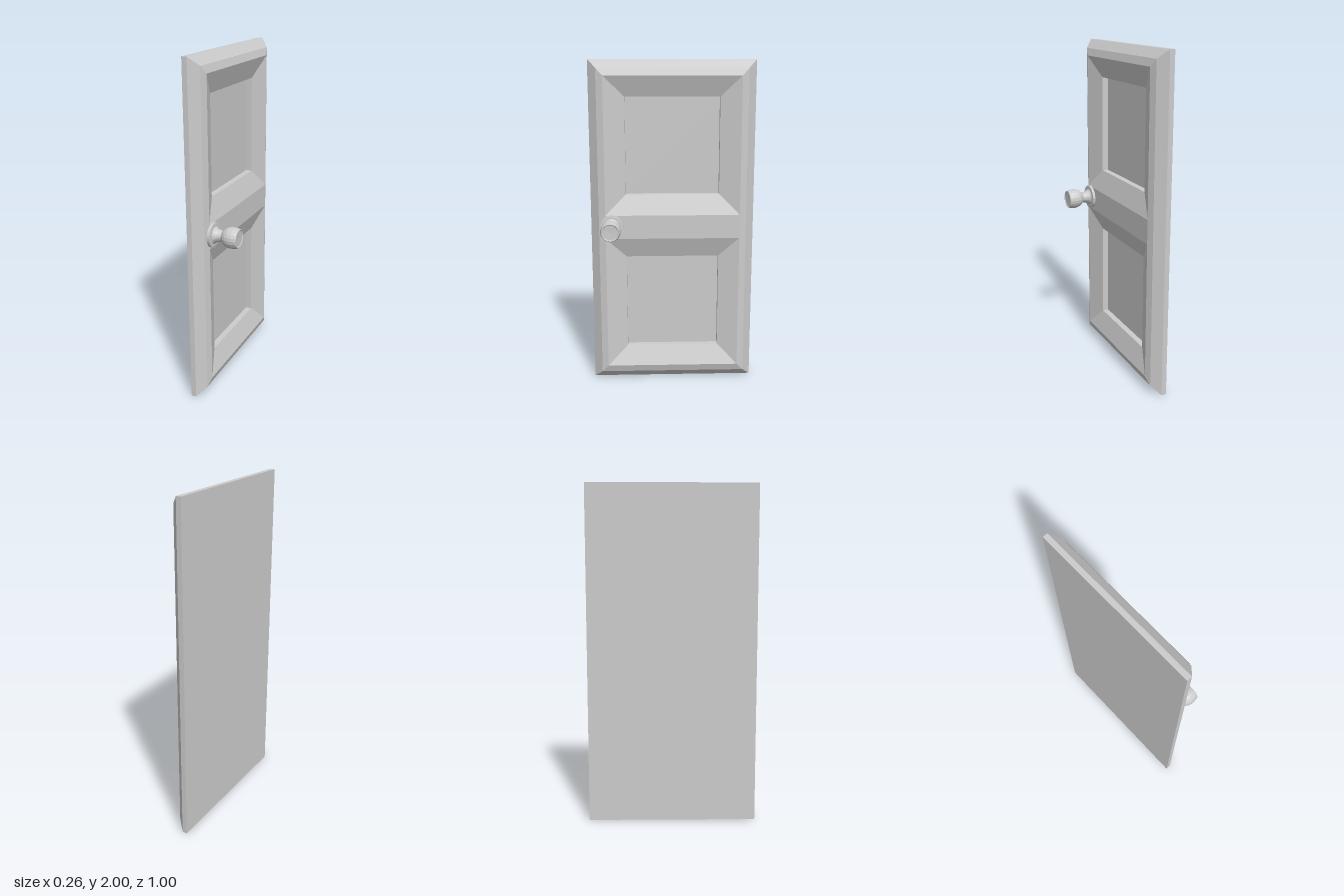
import * as THREE from 'three';

const material = new THREE.MeshStandardMaterial({ color: 0xcccccc, flatShading: true });

// Rectangle in the door plane at depth x; corners run counter-clockwise seen from +x
function rect(x, halfWidth, y0, y1) {
  return [[x, y0, halfWidth], [x, y0, -halfWidth], [x, y1, -halfWidth], [x, y1, halfWidth]];
}

const quad = (a, b, c, d) => [...a, ...b, ...c, ...a, ...c, ...d];

// Joins successive rectangles with mitred strips
function strips(loops) {
  const out = [];
  for (let k = 0; k + 1 < loops.length; k++) {
    const a = loops[k], b = loops[k + 1];
    for (let i = 0; i < 4; i++) {
      const j = (i + 1) % 4;
      out.push(...quad(a[i], a[j], b[j], b[i]));
    }
  }
  return out;
}

function facetMesh(name, positions) {
  const geometry = new THREE.BufferGeometry();
  geometry.setAttribute('position', new THREE.Float32BufferAttribute(positions, 3));
  geometry.computeVertexNormals();
  const mesh = new THREE.Mesh(geometry, material);
  mesh.name = name;
  return mesh;
}

// Lathe around the x axis from [radius, x] pairs
function turned(name, profile, sides) {
  const geometry = new THREE.LatheGeometry(profile.map(([r, x]) => new THREE.Vector2(r, x)), sides);
  geometry.rotateZ(-Math.PI / 2);
  const mesh = new THREE.Mesh(geometry, material);
  mesh.name = name;
  return mesh;
}

export function createModel() {
  const model = new THREE.Group();
  model.name = 'panelDoor';
  const face = -0.035, inner = 0.41;

  // Flat back, thin edge and two-step bevelled border
  const back = rect(-0.13, 0.5, 0, 2);
  const border = [
    back,
    rect(-0.1, 0.5, 0, 2),
    rect(-0.05, 0.45, 0.05, 1.95),
    rect(face, inner, 0.095, 1.907),
  ];
  model.add(facetMesh('doorBody', [
    ...quad(back[3], back[2], back[1], back[0]),
    ...strips(border),
  ]));

  // Flat rail between the panels
  model.add(facetMesh('middleRail', quad(...rect(face, inner, 0.93, 1.075))));

  // Sloped frame, short step and recessed panel
  for (const [name, y0, y1] of [['lowerPanel', 0.095, 0.93], ['upperPanel', 1.075, 1.907]]) {
    const m = 0.123;
    const floor = rect(-0.117, 0.285, y0 + m, y1 - m);
    model.add(facetMesh(name, [
      ...strips([rect(face, inner, y0, y1), rect(-0.08, 0.285, y0 + m, y1 - m), floor]),
      ...quad(...floor),
    ]));
  }

  // Door knob
  const knob = new THREE.Group();
  knob.name = 'doorKnob';
  knob.add(turned('rose', [[0, -0.037], [0.072, -0.037], [0.072, -0.02], [0.06, -0.018], [0, -0.018]], 24));
  knob.add(turned('neck', [[0.052, -0.019], [0.043, -0.01], [0.037, 0.003], [0.034, 0.015], [0.032, 0.03]], 20));
  knob.add(turned('handle', [
    [0.03, 0.028], [0.047, 0.045], [0.056, 0.06], [0.061, 0.078], [0.061, 0.1],
    [0.057, 0.122], [0.054, 0.129], [0.05, 0.13], [0.046, 0.126], [0, 0.124],
  ], 20));
  knob.position.set(0, 1.008, 0.373);
  model.add(knob);

  return model;
}
